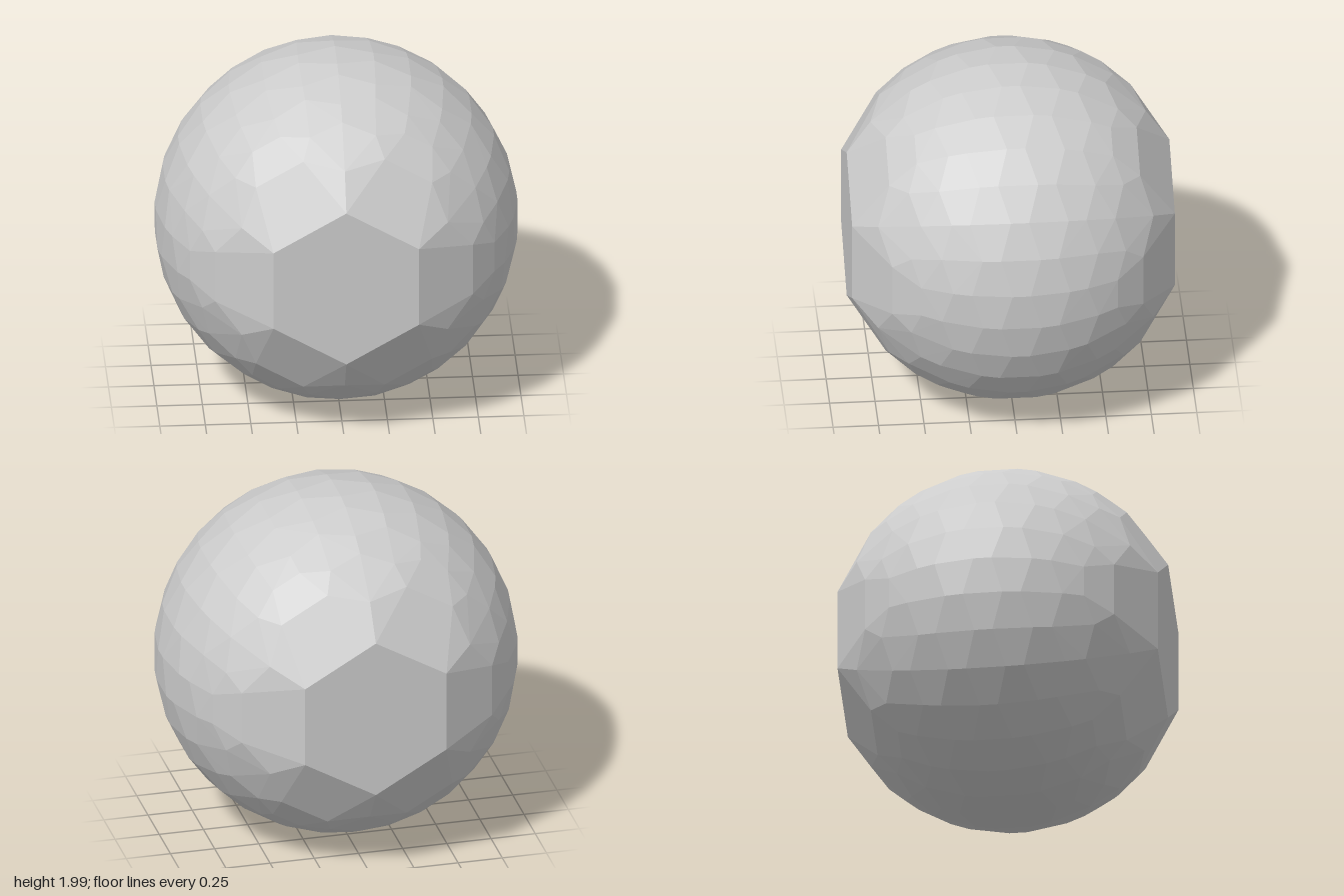
import * as THREE from 'three';
import { ConvexGeometry } from 'three/addons/geometries/ConvexGeometry.js';

// Point on the unit sphere at a given depth and angle around the z axis
function onSphere(z, degrees) {
  const a = THREE.MathUtils.degToRad(degrees);
  const r = Math.sqrt(1 - z * z);
  return new THREE.Vector3(r * Math.cos(a), r * Math.sin(a) + 1, z);
}

export function createModel() {
  const group = new THREE.Group();
  const points = [];

  // Front and back caps: flat hexagon, then two growing rings of cells
  for (const side of [1, -1]) {
    for (let k = 0; k < 6; k++) {
      const a = k * 60;
      const add = (z, offset) => points.push(onSphere(side * z, a + offset));
      add(0.887, 30);
      add(0.757, 30);
      for (const s of [-1, 1]) {
        add(0.69, s * 12);
        add(0.59, s * 17);
        add(0.54, s * 6);
      }
      add(0.535, 30);
    }
  }

  // Belt: zigzag rows of staggered cells between the caps
  for (let row = 0; row < 6; row++) {
    for (let k = 0; k < 30; k++) {
      const zigzag = (k + row) % 2 ? -0.03 : 0.03;
      points.push(onSphere(0.4 - row * 0.16 + zigzag, 90 + k * 12));
    }
  }

  const ball = new THREE.Mesh(
    new ConvexGeometry(points),
    new THREE.MeshStandardMaterial({ color: 0xcccccc, flatShading: true })
  );
  ball.name = 'facetedBall';
  group.add(ball);

  // Rest the ball on the ground
  const box = new THREE.Box3().setFromObject(ball);
  ball.position.y = -box.min.y;
  return group;
}
